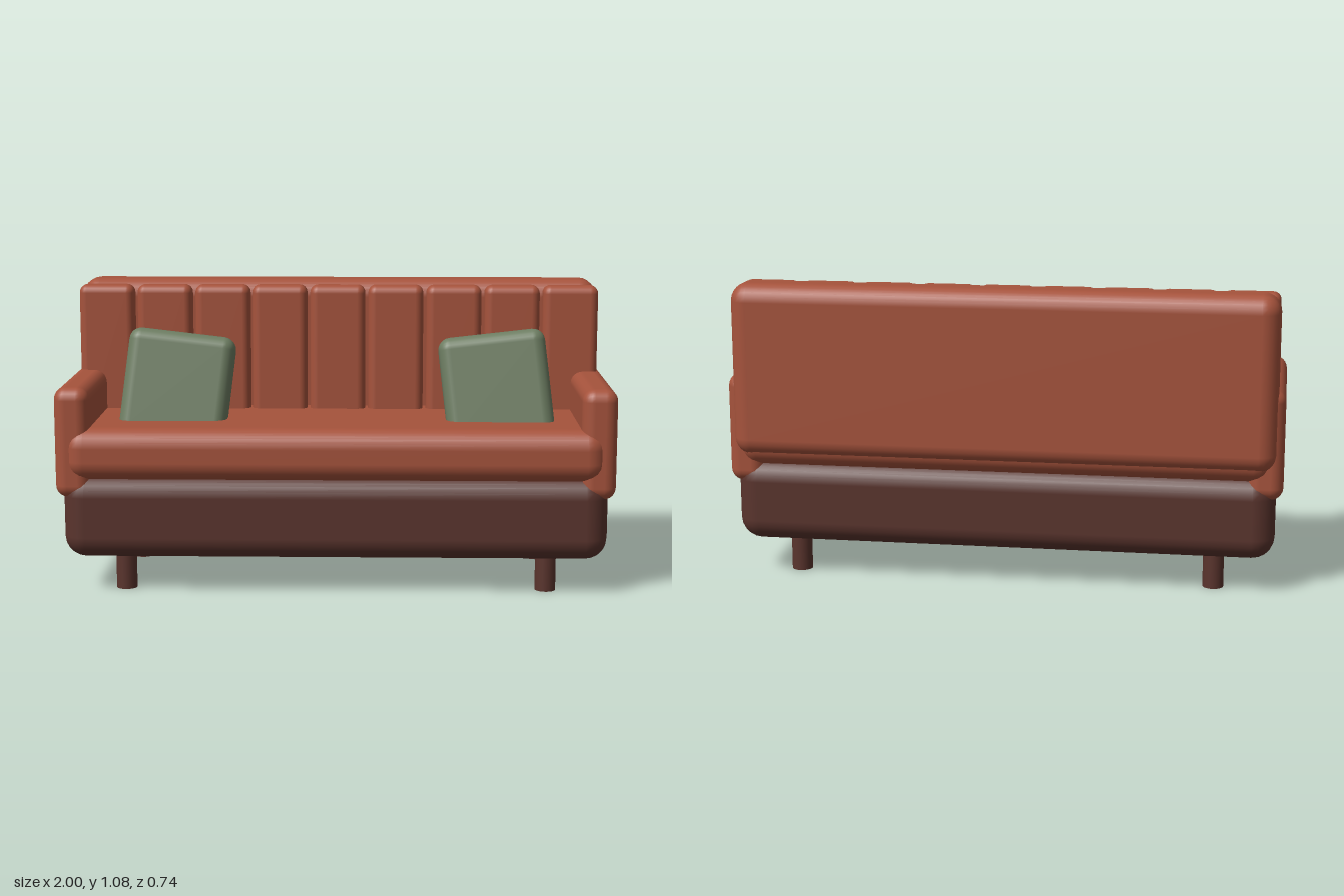
import * as THREE from 'three';
import { RoundedBoxGeometry } from 'three/addons/geometries/RoundedBoxGeometry.js';

const mat = (color) => new THREE.MeshStandardMaterial({ color });

export function createModel() {
  const sofa = new THREE.Group();
  sofa.name = 'sofa';
  const fabric = mat(0xa6533c);
  const dark = mat(0x5a342d);
  const green = mat(0x6d7d62);

  // Rounded block given by its [min, max] extents on each axis
  const block = (name, [x0, x1], [y0, y1], [z0, z1], radius, material) => {
    const geo = new RoundedBoxGeometry(x1 - x0, y1 - y0, z1 - z0, 3, radius);
    const mesh = new THREE.Mesh(geo, material);
    mesh.position.set((x0 + x1) / 2, (y0 + y1) / 2, (z0 + z1) / 2);
    mesh.name = name;
    sofa.add(mesh);
    return mesh;
  };

  // Base, seat cushion and backrest
  block('base', [-0.975, 0.975], [0.125, 0.43], [-0.34, 0.36], 0.08, dark);
  block('seat', [-0.965, 0.965], [0.41, 0.6], [-0.35, 0.37], 0.07, fabric);
  block('backrest', [-0.975, 0.975], [0.45, 1.08], [-0.37, -0.19], 0.065, fabric);

  // Vertical padded channels on the backrest
  const count = 9, pitch = 0.2172;
  for (let i = 0; i < count; i++) {
    const x = (i - (count - 1) / 2) * pitch;
    block('backChannel', [x - 0.103, x + 0.103], [0.53, 1.065], [-0.198, -0.112], 0.03, fabric);
  }

  for (const side of [-1, 1]) {
    // Armrest
    const arm = block('armrest', [0.873, 1], [0.347, 0.745], [-0.33, 0.35], 0.045, fabric);
    arm.position.x *= side;

    // Loose pillow leaning back and tipping inwards
    const pillow = new THREE.Mesh(new RoundedBoxGeometry(0.39, 0.39, 0.132, 3, 0.045), green);
    pillow.name = 'pillow';
    pillow.position.set(side * 0.583, 0.716, 0.077);
    pillow.rotation.set(-0.21, 0, side * 0.115, 'ZXY');
    sofa.add(pillow);

    // Legs
    for (const z of [0.248, -0.229]) {
      const leg = new THREE.Mesh(new THREE.CylinderGeometry(0.0375, 0.0375, 0.15, 20), dark);
      leg.name = 'leg';
      leg.position.set(side * 0.76, 0.075, z);
      sofa.add(leg);
    }
  }
  return sofa;
}
